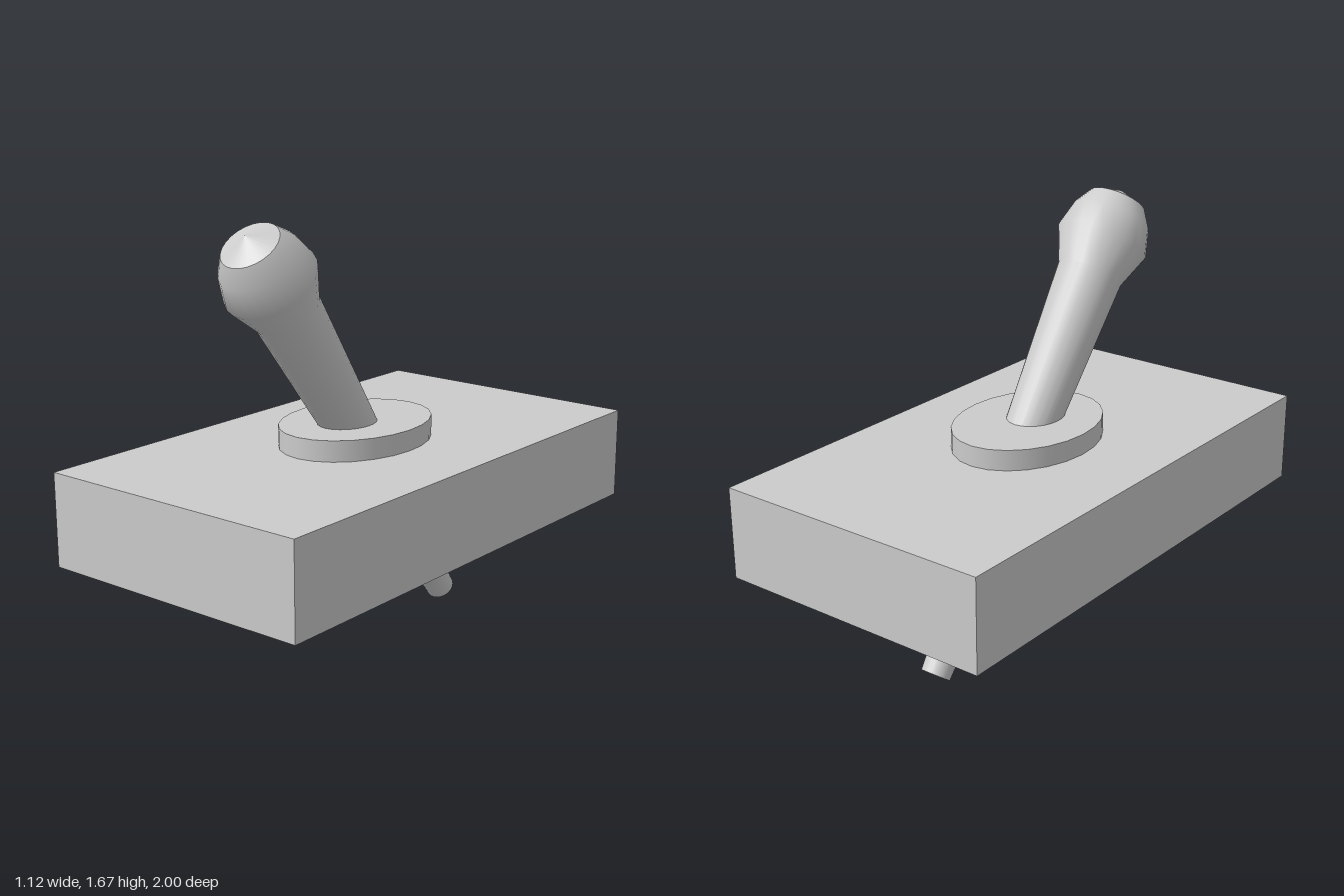
import * as THREE from 'three';

export function createModel() {
  const group = new THREE.Group();
  const material = new THREE.MeshStandardMaterial({ color: 0xcccccc, side: THREE.DoubleSide });
  const add = (name, geometry, parent = group) => {
    const mesh = new THREE.Mesh(geometry, material);
    mesh.name = name;
    parent.add(mesh);
    return mesh;
  };

  // Housing: a hollow box without its bottom face
  const box = new THREE.BoxGeometry(1.12, 0.355, 2);
  const index = Array.from(box.index.array);
  index.splice(18, 6);
  box.setIndex(index);
  box.clearGroups();
  add('housing', box).position.y = 0.6225;

  // Oval collar: open-bottomed sleeve passing through the housing top, with a lid
  const collar = new THREE.Group();
  collar.name = 'collar';
  collar.scale.set(0.255, 1, 0.335);
  group.add(collar);
  add('collarWall', new THREE.CylinderGeometry(1, 1, 0.2, 24, 1, true), collar).position.y = 0.78;
  const lid = add('collarLid', new THREE.CircleGeometry(1, 24), collar);
  lid.rotation.x = -Math.PI / 2;
  lid.position.y = 0.88;

  // Leaning lever: rings stacked along a tilted axis
  const lean = new THREE.Matrix4().makeBasis(
    new THREE.Vector3(1, 0, 0),
    new THREE.Vector3(0, 0.811, 0.585),
    new THREE.Vector3(0, -0.604, 0.797)
  ).setPosition(0, 0.036, -0.563);
  const turned = (points) =>
    new THREE.LatheGeometry(points.map(([r, y]) => new THREE.Vector2(r, y)), 24).applyMatrix4(lean);

  // Tapered shaft swelling into the knob
  add('leverShaftAndKnob', turned([
    [0.057, 0], [0.128, 1.627], [0.18, 1.765], [0.153, 1.869], [0.112, 1.936]
  ]));
  // Shallow cone closing the knob
  add('knobTip', turned([[0.112, 1.936], [0, 1.98]]));

  return group;
}
